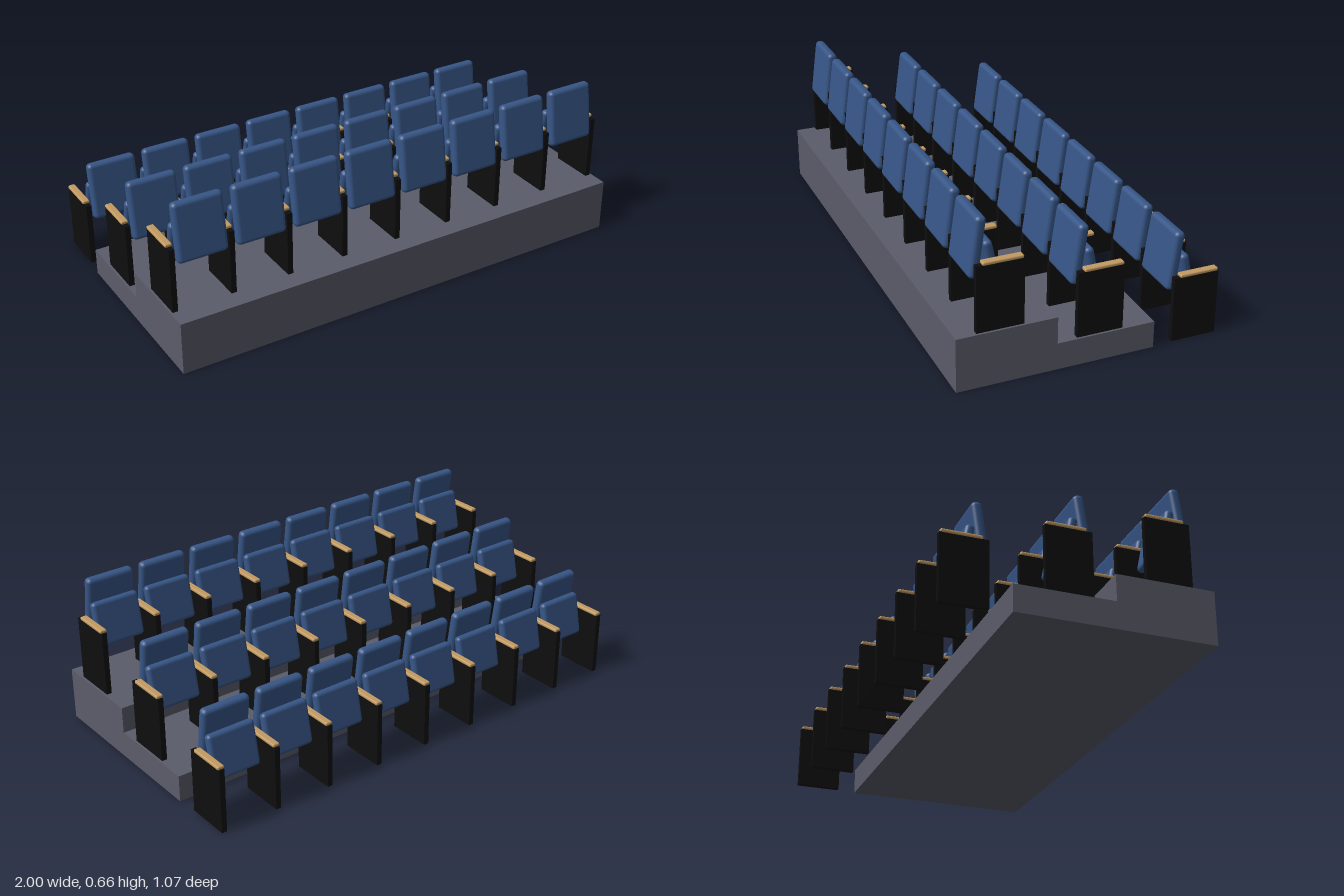
import * as THREE from 'three';
import { RoundedBoxGeometry } from 'three/addons/geometries/RoundedBoxGeometry.js';

const ROWS = 3, SEATS = 8, PITCH = 0.245, RISE = 0.111, DEPTH = 0.4;

function material(name, color) {
  const m = new THREE.MeshStandardMaterial({ color });
  m.name = name;
  return m;
}

export function createModel() {
  const fabric = material('blue fabric', 0x375687);
  const frame = material('black frame', 0x0e0e0e);
  const wood = material('light wood', 0xc39b62);
  const concrete = material('grey platform', 0x5b5c6a);

  const model = new THREE.Group();
  model.name = 'tieredSeating';

  function add(parent, name, geometry, mat, x, y, z, tilt = 0) {
    const mesh = new THREE.Mesh(geometry, mat);
    mesh.name = name;
    mesh.position.set(x, y, z);
    mesh.rotation.x = tilt;
    parent.add(mesh);
  }

  // Stepped platform: side profile (z, y) extruded along x
  const profile = new THREE.Shape([
    [-0.535, 0], [0.265, 0], [0.265, RISE], [-0.135, RISE], [-0.135, 2 * RISE], [-0.535, 2 * RISE],
  ].map(([a, b]) => new THREE.Vector2(a, b)));
  const step = new THREE.ExtrudeGeometry(profile, { depth: 2, bevelEnabled: false });
  step.translate(0, 0, -1).rotateY(Math.PI / 2);
  add(model, 'platform', step, concrete, 0, 0, 0);

  // Shared parts
  const post = new THREE.BoxGeometry(0.022, 0.27, 0.187);
  const arm = new RoundedBoxGeometry(0.03, 0.015, 0.16, 2, 0.006);
  const back = new RoundedBoxGeometry(0.208, 0.242, 0.042, 3, 0.018);
  const cushion = new RoundedBoxGeometry(0.208, 0.185, 0.036, 3, 0.016);

  // Rows face -z, climbing towards +z
  for (let r = 0; r < ROWS; r++) {
    const row = new THREE.Group();
    row.name = `row${r + 1}`;
    row.position.set(0, r * RISE, (r - 1) * DEPTH);
    for (let i = 0; i <= SEATS; i++) {
      const x = (i - SEATS / 2) * PITCH;
      add(row, 'sidePanel', post, frame, x, 0.135, -0.0415);
      add(row, 'armrest', arm, wood, x, 0.276, -0.051);
      if (i === SEATS) continue;
      // Folded-up seat leaning against the backrest
      add(row, 'backrest', back, fabric, x + PITCH / 2, 0.322, 0.0325, -0.138);
      add(row, 'foldedSeat', cushion, fabric, x + PITCH / 2, 0.253, -0.023, 0.21);
    }
    model.add(row);
  }
  return model;
}
